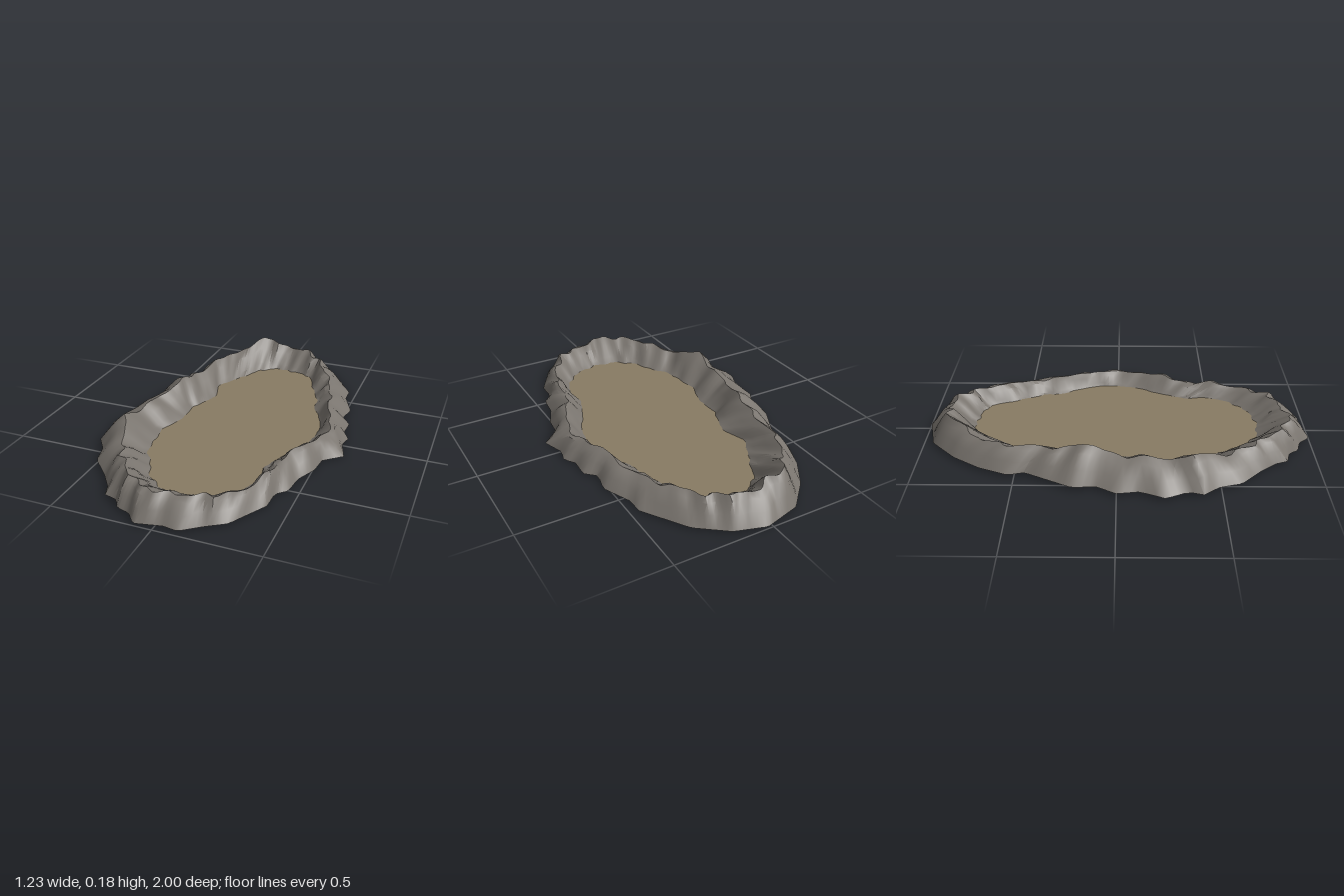
import * as THREE from 'three';
import { toCreasedNormals } from 'three/addons/utils/BufferGeometryUtils.js';

const SEGMENTS = 180;
const FLOOR_Y = 0.026;

// Foot of the rocks, as [x, z]
const OUTER = [
  [0.03, -1], [0.18, -0.95], [0.32, -0.84], [0.46, -0.62], [0.46, -0.54], [0.525, -0.39], [0.5, -0.29],
  [0.555, -0.235], [0.55, -0.13], [0.59, -0.08], [0.57, -0.01], [0.61, 0.11], [0.52, 0.19], [0.51, 0.29],
  [0.46, 0.4], [0.45, 0.51], [0.4, 0.56], [0.4, 0.66], [0.33, 0.78], [0.29, 0.85], [0.2, 0.91],
  [0.11, 0.98], [0.04, 0.97], [-0.09, 1], [-0.14, 0.94], [-0.21, 0.92], [-0.24, 0.87], [-0.31, 0.85],
  [-0.33, 0.79], [-0.4, 0.7], [-0.5, 0.6], [-0.53, 0.49], [-0.59, 0.41], [-0.57, 0.34], [-0.62, 0.23],
  [-0.57, 0.11], [-0.585, 0], [-0.53, -0.1], [-0.54, -0.21], [-0.42, -0.45], [-0.44, -0.53],
  [-0.38, -0.68], [-0.29, -0.82], [-0.16, -0.95],
];

// Edge of the sandy floor, as [x, z]
const INNER = [
  [-0.03, -0.75], [0.15, -0.73], [0.22, -0.66], [0.26, -0.53], [0.31, -0.44], [0.33, -0.31], [0.39, -0.21],
  [0.43, -0.08], [0.4, 0.11], [0.335, 0.24], [0.28, 0.37], [0.3, 0.48], [0.25, 0.61], [0.16, 0.7],
  [0.03, 0.735], [-0.1, 0.715], [-0.19, 0.635], [-0.235, 0.53], [-0.29, 0.45], [-0.31, 0.37], [-0.33, 0.21],
  [-0.28, 0.055], [-0.29, -0.08], [-0.22, -0.245], [-0.265, -0.39], [-0.18, -0.55], [-0.12, -0.68],
];

// Crest of the rocks, as [x, z, height]
const CREST = [
  [0.04, -0.88, 0.12], [0.14, -0.85, 0.135], [0.23, -0.77, 0.11], [0.33, -0.6, 0.1], [0.4, -0.42, 0.08],
  [0.44, -0.2, 0.105], [0.5, -0.04, 0.085], [0.49, 0.1, 0.09], [0.41, 0.28, 0.1], [0.36, 0.42, 0.08],
  [0.36, 0.52, 0.1], [0.31, 0.68, 0.085], [0.21, 0.81, 0.11], [0.05, 0.87, 0.115], [-0.1, 0.89, 0.13],
  [-0.22, 0.79, 0.13], [-0.32, 0.66, 0.12], [-0.39, 0.52, 0.105], [-0.46, 0.36, 0.165], [-0.46, 0.25, 0.125],
  [-0.44, 0.15, 0.135], [-0.43, 0.05, 0.12], [-0.37, -0.17, 0.162], [-0.37, -0.3, 0.12], [-0.34, -0.38, 0.13],
  [-0.34, -0.55, 0.12], [-0.25, -0.72, 0.125], [-0.14, -0.86, 0.18],
];

const TAU = Math.PI * 2;
const baseY = (x) => Math.max(0, 0.008 - 0.012 * x);

// Resample a closed outline evenly by angle, so that all the rings line up
function resample(points) {
  const sorted = points
    .map(([x, z, h = 0]) => ({ a: (Math.atan2(z, x / 0.58) + TAU) % TAU, x, z, h }))
    .sort((p, q) => p.a - q.a);
  const last = sorted[sorted.length - 1];
  const wrapped = [{ ...last, a: last.a - TAU }, ...sorted, { ...sorted[0], a: sorted[0].a + TAU }];
  return Array.from({ length: SEGMENTS }, (_, i) => {
    const a = (i / SEGMENTS) * TAU;
    const k = Math.max(1, wrapped.findIndex((p) => p.a > a));
    const p = wrapped[k - 1], q = wrapped[k];
    const t = (a - p.a) / (q.a - p.a || 1);
    const mix = (key) => THREE.MathUtils.lerp(p[key], q[key], t);
    return new THREE.Vector3(mix('x'), mix('h'), mix('z'));
  });
}

// Join rings of equal length into a skin
function skin(rings) {
  const positions = rings.flatMap((ring) => ring.flatMap((p) => [p.x, p.y, p.z]));
  const index = [];
  for (let r = 0; r < rings.length - 1; r++) {
    for (let i = 0; i < SEGMENTS; i++) {
      const j = (i + 1) % SEGMENTS;
      const a = r * SEGMENTS + i, c = r * SEGMENTS + j;
      const b = a + SEGMENTS, d = c + SEGMENTS;
      index.push(a, b, c, c, b, d);
    }
  }
  const geometry = new THREE.BufferGeometry();
  geometry.setAttribute('position', new THREE.Float32BufferAttribute(positions, 3));
  geometry.setIndex(index);
  return toCreasedNormals(geometry, 0.6);
}

// Ring scaled in plan, with its height set by a rule
const flatRing = (ring, scale, height) =>
  ring.map((p) => new THREE.Vector3(p.x * scale, height(p.x * scale), p.z * scale));

export function createModel() {
  const rock = new THREE.MeshStandardMaterial({ color: 0x7a756f });
  rock.name = 'grey rock';
  const sand = new THREE.MeshStandardMaterial({ color: 0x887b63 });
  sand.name = 'sand';
  const black = new THREE.MeshStandardMaterial({ color: 0x050505 });
  black.name = 'black underside';

  const group = new THREE.Group();
  group.name = 'rockRimmedBasin';
  const add = (name, geometry, material) => {
    const mesh = new THREE.Mesh(geometry, material);
    mesh.name = name;
    group.add(mesh);
  };

  const foot = resample(OUTER);
  foot.forEach((p) => { p.y = baseY(p.x) + 0.004; });
  const floorEdge = resample(INNER);
  const crest = resample(CREST);

  // Gullies: small irregular waves running round the ring
  const wave = (i, f, s) => {
    const a = (i / SEGMENTS) * TAU;
    return Math.sin(f * a + s + 1.3 * Math.sin(5 * a + s)) * 0.6 + Math.sin((f * 2 - 7) * a + 2 * s) * 0.4;
  };
  crest.forEach((p, i) => {
    const k = 1 + 0.025 * wave(i, 23, 0.5);
    p.x *= k;
    p.z *= k;
    p.y += 0.006 * wave(i, 19, 2);
  });
  floorEdge.forEach((p, i) => {
    const k = 1 + 0.012 * wave(i, 29, 1);
    p.x *= k;
    p.z *= k;
    p.y = FLOOR_Y - 0.004;
  });

  // Ring between two others, pushed in height by a bulge and gullies
  const between = (from, to, t, bulge, depth, seed) => from.map((p, i) => {
    const v = p.clone().lerp(to[i], t);
    v.y += bulge + depth * wave(i, 21, seed);
    return v;
  });

  add('rockRim', skin([
    foot,
    between(foot, crest, 0.35, 0.014, 0.006, 0.5),
    between(foot, crest, 0.7, 0.014, 0.008, 1.2),
    crest,
    between(crest, floorEdge, 0.35, 0.004, 0.01, 3),
    between(crest, floorEdge, 0.72, -0.004, 0.008, 4),
    floorEdge,
  ]), rock);

  // Floor reaches a little under the rocks
  add('sandFloor', skin([1.03, 0.5, 0].map((s) => flatRing(floorEdge, s, () => FLOOR_Y))), sand);

  // Underside with a slightly raised edge
  add('underside', skin([
    flatRing(foot, 0, baseY),
    flatRing(foot, 0.5, baseY),
    flatRing(foot, 0.95, baseY),
    foot,
  ]), black);

  return group;
}
